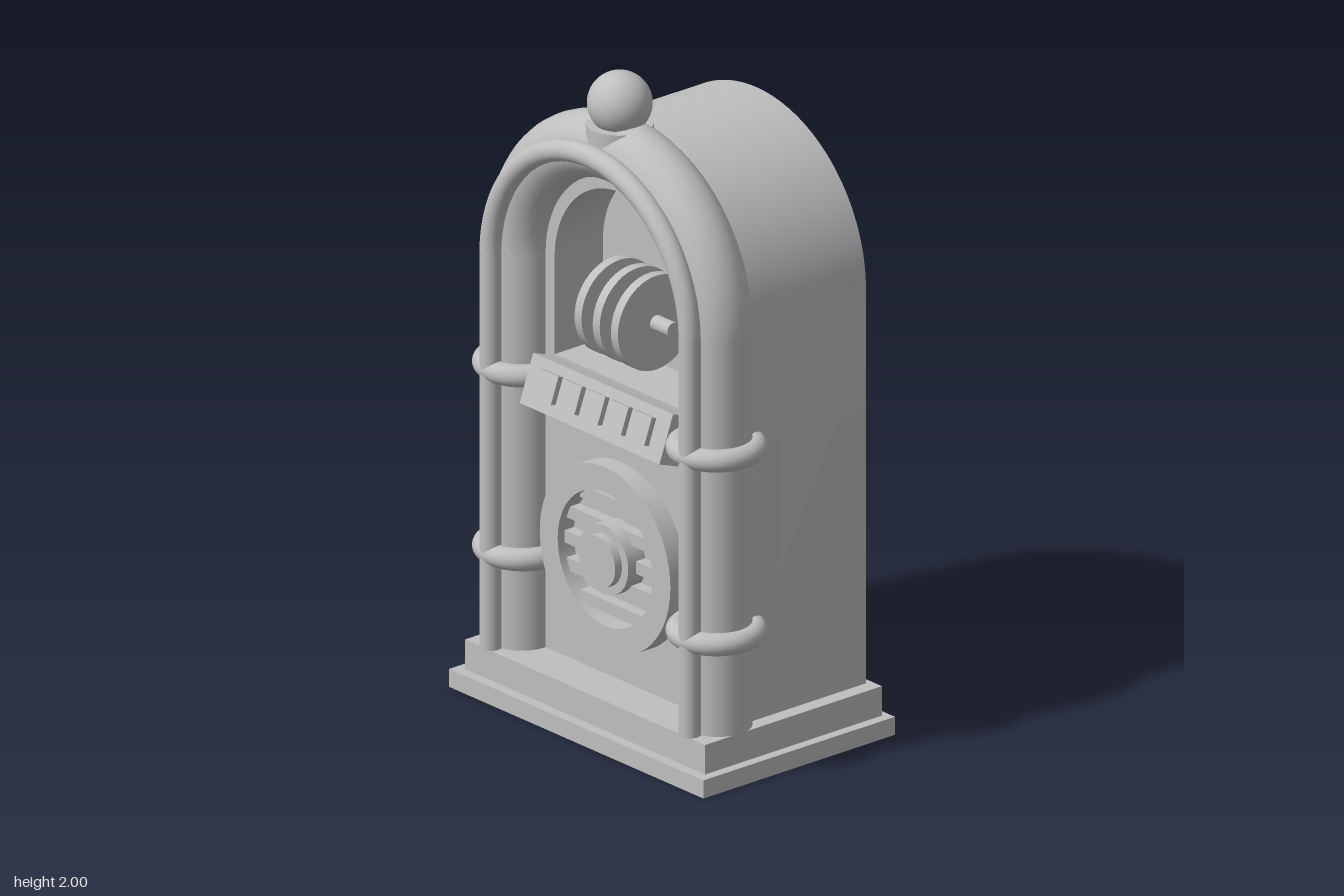
import * as THREE from 'three';
import { toCreasedNormals } from 'three/addons/utils/BufferGeometryUtils.js';

const grey = new THREE.MeshStandardMaterial({ color: 0xbfbfbf });
grey.name = 'plain grey';

const BASE_TOP = 0.145; // top of the plinth
const SPRING = 1.345;   // height where the arches begin
const TUBE_Z = 0.195;   // depth of the large tube arch
const FRONT = 0.19;     // front face of the cabinet
const NICHE_BACK = 0.01;

export function createModel() {
  const model = new THREE.Group();
  model.name = 'jukebox';

  const add = (name, geometry, x = 0, y = 0, z = 0, parent = model) => {
    const mesh = new THREE.Mesh(geometry, grey);
    mesh.name = name;
    mesh.position.set(x, y, z);
    parent.add(mesh);
    return mesh;
  };
  const box = (name, w, h, d, x, y, z, parent) =>
    add(name, new THREE.BoxGeometry(w, h, d), x, y, z, parent);

  // Round-topped outline, used for the cabinet and the window
  const arch = (Type, r, bottom) => {
    const p = new Type();
    p.moveTo(-r, bottom);
    p.lineTo(r, bottom);
    p.lineTo(r, SPRING);
    p.absarc(0, SPRING, r, 0, Math.PI, false);
    p.closePath();
    return p;
  };
  const extrude = (shape, depth) => toCreasedNormals(
    new THREE.ExtrudeGeometry(shape, { depth, bevelEnabled: false, curveSegments: 40 }), 0.5);

  // Disc or drum facing the front, from z0 to z1
  const drum = (name, r, y, z0, z1) => {
    const g = new THREE.CylinderGeometry(r, r, z1 - z0, 48).rotateX(Math.PI / 2);
    return add(name, g, 0, y, (z0 + z1) / 2);
  };

  // Stepped plinth
  box('lowerPlinth', 1.09, 0.055, 0.715, 0, 0.0275, 0);
  box('upperPlinth', 1.03, 0.09, 0.66, 0, 0.1, -0.005);

  // Cabinet: solid rear and a front section with the window opening
  add('cabinetRear', extrude(arch(THREE.Shape, 0.47, BASE_TOP), NICHE_BACK + 0.315), 0, 0, -0.315);
  const front = arch(THREE.Shape, 0.47, BASE_TOP);
  front.holes.push(arch(THREE.Path, 0.285, 1.05));
  add('cabinetFront', extrude(front, FRONT - NICHE_BACK), 0, 0, NICHE_BACK);

  // Arched tubes: half torus on two straight legs
  const tubeArch = (name, radius, tube, z) => {
    const group = new THREE.Group();
    group.name = name;
    model.add(group);
    add(name + 'Top', new THREE.TorusGeometry(radius, tube, 28, 64, Math.PI), 0, SPRING, z, group);
    const h = SPRING - BASE_TOP;
    for (const s of [-1, 1]) {
      add(name + (s > 0 ? 'LeftLeg' : 'RightLeg'),
        new THREE.CylinderGeometry(tube, tube, h, 32, 1, true),
        s * radius, BASE_TOP + h / 2, z, group);
    }
  };
  tubeArch('largeTube', 0.421, 0.098, TUBE_Z);
  tubeArch('slimTube', 0.427, 0.032, 0.305);

  // Rings clasping the tubes
  for (const s of [-1, 1]) {
    for (const y of [0.43, 0.99]) {
      const g = new THREE.TorusGeometry(0.111, 0.033, 20, 48).rotateX(Math.PI / 2);
      add('tubeRing', g, s * 0.415, y, TUBE_Z);
    }
  }

  // Finial ball on its collar
  add('finialCollar', new THREE.CylinderGeometry(0.096, 0.096, 0.065, 40), 0, 1.8125, TUBE_Z);
  add('finialBall', new THREE.SphereGeometry(0.093, 40, 28), 0, 1.907, TUBE_Z);

  // Records on a spindle in the window
  const sideways = (name, r, length, x) =>
    add(name, new THREE.CylinderGeometry(r, r, length, 48).rotateZ(Math.PI / 2), x, 1.25, 0.14);
  sideways('spindle', 0.023, 0.335, 0);
  for (const x of [-0.078, 0, 0.078]) sideways('record', 0.143, 0.03, x);

  // Tilted selector panel with five buttons
  const selector = new THREE.Group();
  selector.name = 'selector';
  selector.position.set(0, 0.984, 0.245);
  selector.rotation.x = -0.35;
  model.add(selector);
  box('selectorPanel', 0.6, 0.148, 0.08, 0, 0, 0, selector);
  for (let i = -2; i <= 2; i++) {
    box('selectorButton', 0.08, 0.083, 0.02, i * 0.1, 0.003, 0.048, selector);
  }

  // Round speaker with slats and hub
  const SPEAKER_Y = 0.53;
  const rim = new THREE.Shape().absarc(0, 0, 0.28, 0, Math.PI * 2, false);
  rim.holes.push(new THREE.Path().absarc(0, 0, 0.203, 0, Math.PI * 2, true));
  add('speakerRim', extrude(rim, 0.06), 0, SPEAKER_Y, FRONT);
  for (let i = -2; i <= 2; i++) {
    const dy = i * 0.08;
    const w = 2 * Math.sqrt(0.21 ** 2 - dy * dy);
    box('speakerSlat', w, 0.038, 0.035, 0, SPEAKER_Y + dy, FRONT + 0.0175);
  }
  drum('speakerHubRing', 0.105, SPEAKER_Y, FRONT, 0.255);
  drum('speakerHub', 0.078, SPEAKER_Y, FRONT, 0.28);

  return model;
}
